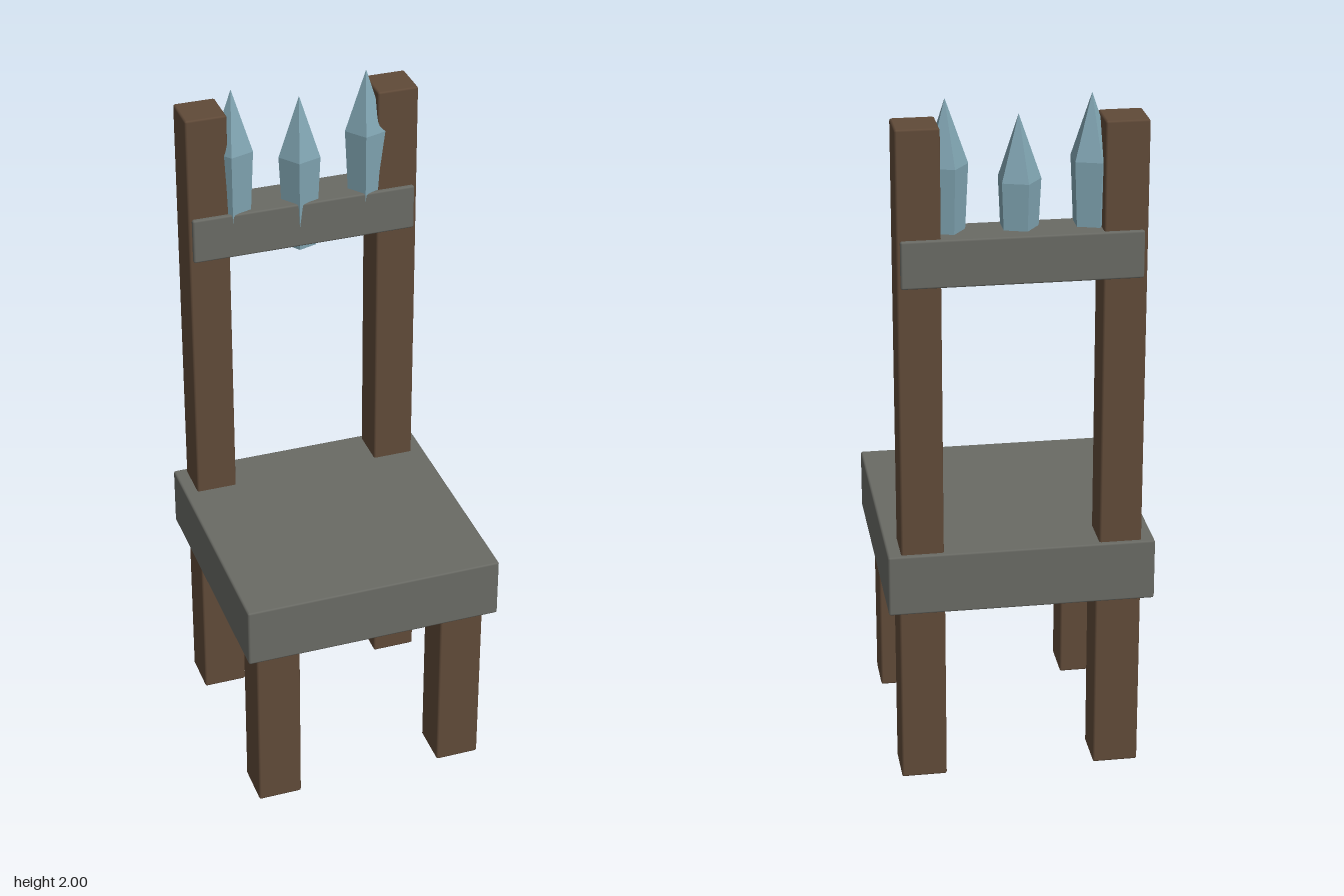
import * as THREE from 'three';
import { RoundedBoxGeometry } from 'three/addons/geometries/RoundedBoxGeometry.js';

const material = (name, color) => Object.assign(new THREE.MeshStandardMaterial({ color }), { name });

export function createModel() {
  const wood = material('dark wood', 0x604a38);
  const stone = material('grey stone', 0x696a64);
  const crystal = material('blue crystal', 0x7fa3b0);
  const model = new THREE.Group();
  model.name = 'chair';

  // Box with slightly softened edges, placed by its base height
  function block(name, mat, [w, h, d], [x, y, z]) {
    const mesh = new THREE.Mesh(new RoundedBoxGeometry(w, h, d, 1, 0.006), mat);
    mesh.name = name;
    mesh.position.set(x, y + h / 2, z);
    model.add(mesh);
  }

  // Seat and back rail
  block('seat', stone, [0.756, 0.18, 0.756], [0, 0.54, 0]);
  block('backRail', stone, [0.66, 0.135, 0.14], [0, 1.503, -0.305]);

  // Legs and back posts, mirrored left and right
  for (const [side, s] of [['left', 1], ['right', -1]]) {
    block(side + 'FrontLeg', wood, [0.13, 0.56, 0.13], [s * 0.28, 0, 0.28]);
    block(side + 'BackLeg', wood, [0.13, 0.56, 0.13], [s * 0.28, 0, -0.28]);
    block(side + 'BackPost', wood, [0.12, 1.262, 0.12], [s * 0.28, 0.68, -0.306]);
  }

  // Five-sided crystals: tapered shaft, wide shoulder, pointed tip
  const profile = [[0, 0], [0.048, 0], [0.062, 0.28], [0, 0.46]].map(([r, y]) => new THREE.Vector2(r, y));
  const shard = new THREE.LatheGeometry(profile, 5, -Math.PI / 2).toNonIndexed();
  shard.computeVertexNormals();
  for (const [name, x, y] of [['right', -0.197, 1.54], ['middle', 0, 1.49], ['left', 0.197, 1.54]]) {
    const mesh = new THREE.Mesh(shard, crystal);
    mesh.name = name + 'Crystal';
    mesh.position.set(x, y, -0.284);
    model.add(mesh);
  }
  return model;
}
